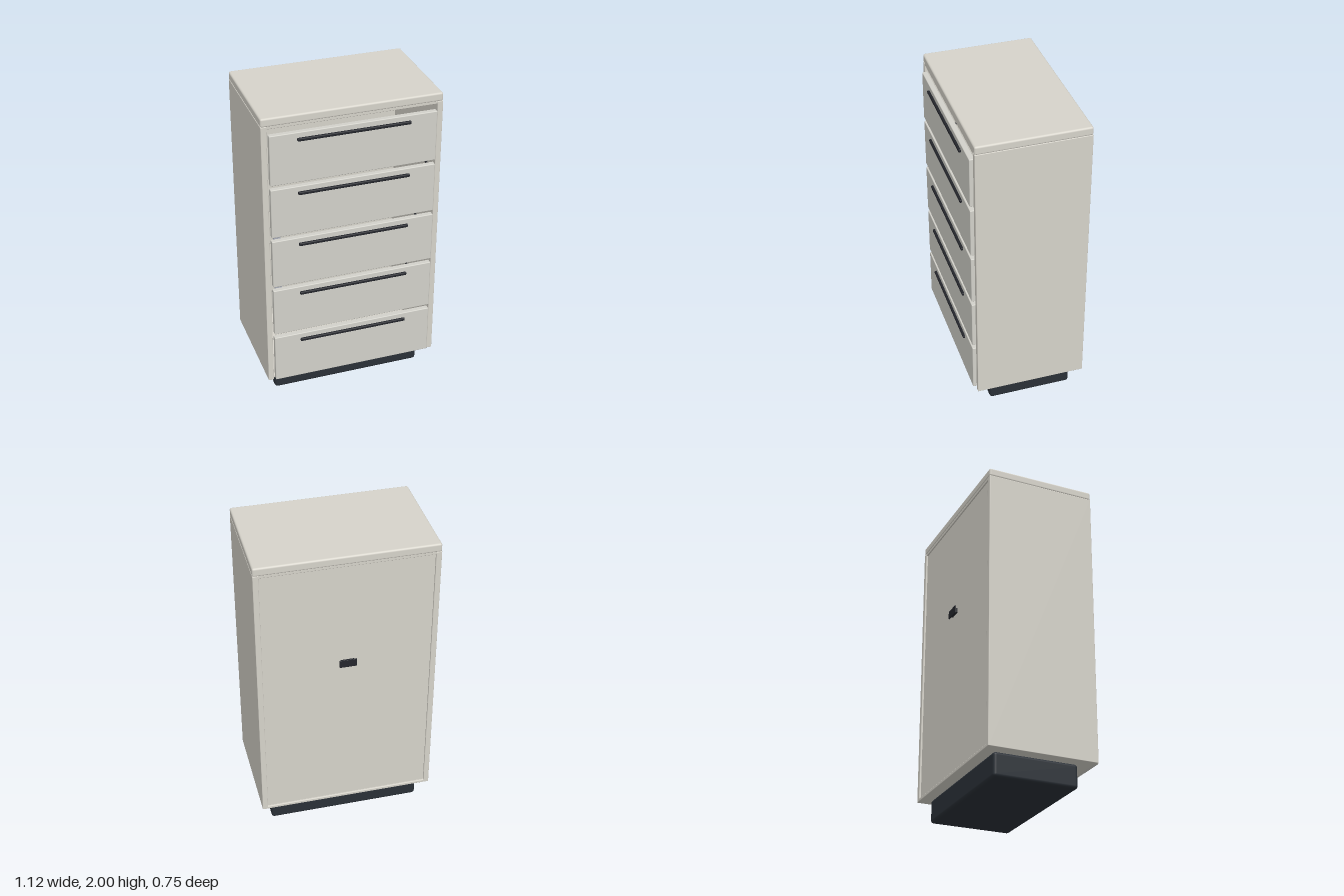
import * as THREE from 'three';
import { RoundedBoxGeometry } from 'three/addons/geometries/RoundedBoxGeometry.js';

const paint = new THREE.MeshStandardMaterial({ color: 0xd6d3ca });
const drawerPaint = new THREE.MeshStandardMaterial({ color: 0xd2d1ca });
const dark = new THREE.MeshStandardMaterial({ color: 0x2a3037 });
const black = new THREE.MeshStandardMaterial({ color: 0x24262c });
const steel = new THREE.MeshStandardMaterial({ color: 0xa9adb8 });

// Softened box given by its extents on each axis
function block(name, material, [x0, x1], [y0, y1], [z0, z1], radius = 0.004) {
  const geometry = new RoundedBoxGeometry(x1 - x0, y1 - y0, z1 - z0, 3, radius);
  const mesh = new THREE.Mesh(geometry, material);
  mesh.position.set((x0 + x1) / 2, (y0 + y1) / 2, (z0 + z1) / 2);
  mesh.name = name;
  return mesh;
}

export function createModel() {
  const model = new THREE.Group();
  model.name = 'drawerCabinet';
  const back = -0.365, front = 0.34;

  // Recessed plinth
  model.add(block('plinth', dark, [-0.49, 0.49], [0, 0.152], [-0.3, 0.24], 0.02));

  // Hollow carcass
  const carcass = new THREE.Group();
  carcass.name = 'carcass';
  carcass.add(
    block('topPanel', paint, [-0.56, 0.56], [1.945, 2], [back, front], 0.012),
    block('topRail', paint, [-0.557, 0.557], [1.93, 1.952], [back + 0.003, front - 0.003]),
    block('bottomPanel', paint, [-0.555, 0.555], [0.15, 0.17], [back, 0.322]),
    block('backPanel', paint, [-0.53, 0.53], [0.16, 1.935], [-0.354, -0.336], 0.002),
  );
  for (const side of [-1, 1]) {
    const wall = block('sidePanel', paint, [0.525, 0.56], [0.15, 1.948], [back, front]);
    wall.position.x *= side;
    carcass.add(wall);
    // Small stops inside the side walls
    for (const y of [0.58, 1.03, 1.48]) {
      const stop = block('drawerStop', black, [0.516, 0.53], [y - 0.005, y + 0.005], [-0.25, 0.3], 0.002);
      stop.position.x *= side;
      carcass.add(stop);
    }
  }
  model.add(carcass);

  // Five drawer fronts, each with a long bar handle
  for (let i = 0; i < 5; i++) {
    const y = 0.16 + i * 0.3525;
    const drawer = new THREE.Group();
    drawer.name = 'drawer';
    drawer.add(
      block('drawerFront', drawerPaint, [-0.517, 0.517], [y, y + 0.325], [0.325, 0.36], 0.005),
      block('handle', black, [-0.35, 0.35], [y + 0.271, y + 0.291], [0.356, 0.374], 0.006),
    );
    model.add(drawer);
  }

  // Lock bar behind the middle drawer
  model.add(block('lockBar', steel, [-0.49, -0.445], [0.77, 1.28], [0.28, 0.3]));

  // Plate on the back with its short mount
  model.add(
    block('backPlate', black, [-0.053, 0.053], [1.22, 1.272], [-0.378, -0.37], 0.002),
    block('backPlateMount', black, [-0.04, 0.04], [1.23, 1.262], [-0.372, -0.35], 0.002),
  );
  return model;
}
